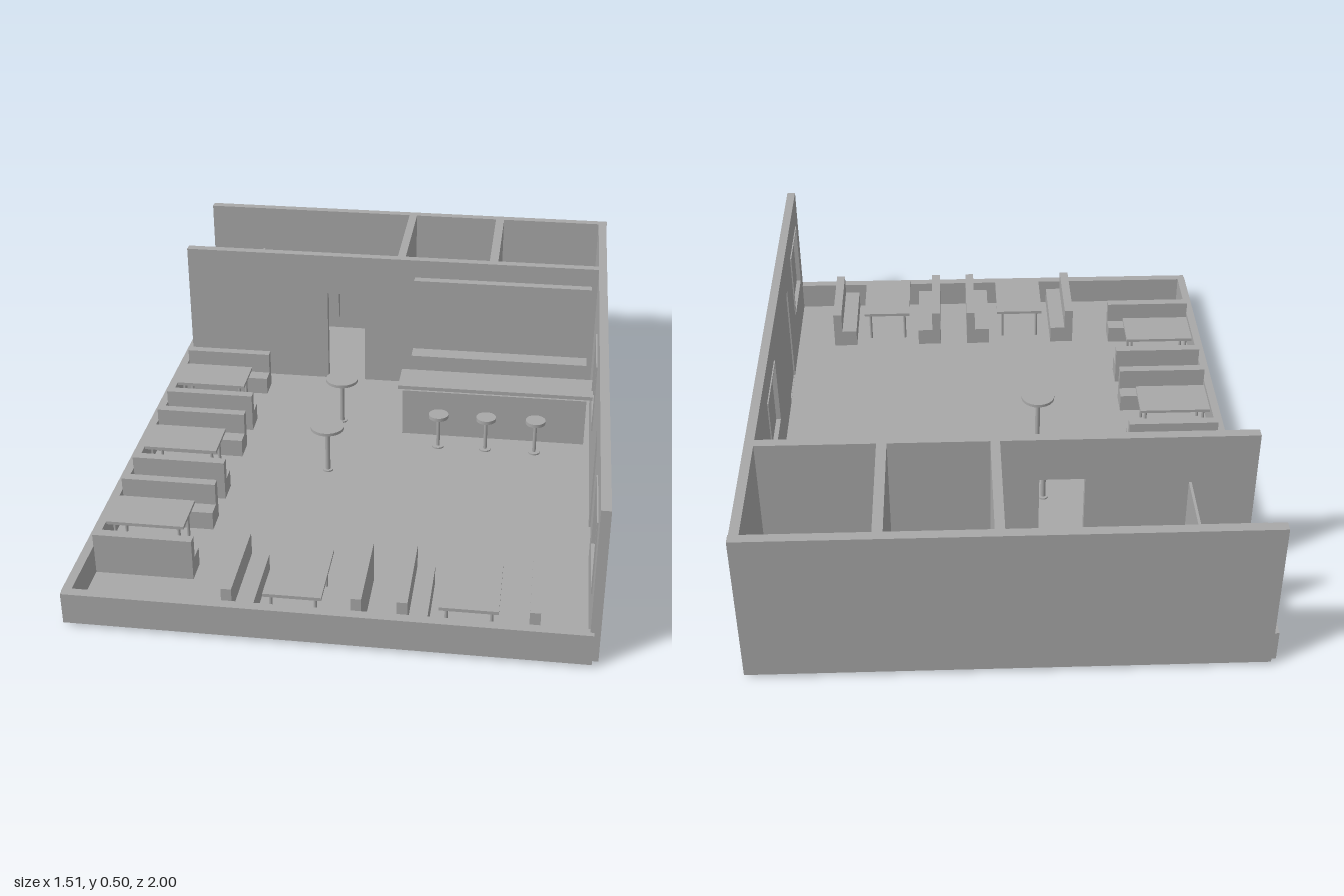
import * as THREE from 'three';

export function createModel() {
  const grey = new THREE.MeshStandardMaterial({ color: 0xa8a8a8 });
  grey.name = 'plain grey';
  const model = new THREE.Group();
  model.name = 'cafeInterior';
  const FLOOR = 0.015;

  const add = (name, geometry, parent = model) => {
    const mesh = new THREE.Mesh(geometry, grey);
    mesh.name = name;
    parent.add(mesh);
    return mesh;
  };
  const group = (name) => {
    const g = new THREE.Group();
    g.name = name;
    model.add(g);
    return g;
  };
  // Box given by its limits on each axis
  const box = (name, x0, x1, y0, y1, z0, z1, parent) =>
    add(name, new THREE.BoxGeometry(x1 - x0, y1 - y0, z1 - z0)
      .translate((x0 + x1) / 2, (y0 + y1) / 2, (z0 + z1) / 2), parent);
  // Upright disc or pole
  const disc = (name, x, z, r, y0, y1, parent, r0 = r) =>
    add(name, new THREE.CylinderGeometry(r, r0, y1 - y0, 24)
      .translate(x, (y0 + y1) / 2, z), parent);
  const path = (pts, Kind = THREE.Path) => new Kind(pts.map((p) => new THREE.Vector2(...p)));
  const rect = (a, b, c, d) => [[a, c], [b, c], [b, d], [a, d]];

  // Floor and outer walls
  box('floor', -0.74, 0.73, 0, FLOOR, -0.985, 0.985);
  box('frontLowWall', -0.755, 0.73, 0.01, 0.108, 0.97, 1);
  box('leftLowWall', -0.757, -0.73, 0.01, 0.108, -0.985, 0.985);
  box('backWall', -0.74, 0.75, 0.012, 0.5, -1, -0.97);

  // Right wall with two windows and a door
  const windows = [[-0.235, 0], [0.66, 0.895]];
  const side = path(rect(-0.985, 0.985, 0.012, 0.5), THREE.Shape);
  windows.forEach(([a, b]) => side.holes.push(path(rect(a, b, 0.177, 0.403))));
  side.holes.push(path(rect(0.33, 0.495, 0.016, 0.373)));
  add('rightWall', new THREE.ExtrudeGeometry(side, { depth: 0.028, bevelEnabled: false })
    .rotateY(-Math.PI / 2).translate(0.748, 0, 0));
  for (const [a, b] of windows) {
    const w = group('window');
    box('pane', 0.731, 0.737, 0.177, 0.403, a, b, w);
    for (const z of [a, b]) box('frameSide', 0.716, 0.753, 0.174, 0.406, z - 0.004, z + 0.004, w);
    for (const y of [0.177, 0.403]) box('frameRail', 0.716, 0.753, y - 0.003, y + 0.003, a, b, w);
  }
  box('sideDoor', 0.725, 0.743, 0.016, 0.373, 0.33, 0.495);

  // Partition with an open doorway, and the back room dividers
  const partition = path([[-0.74, 0.012], [-0.235, 0.012], [-0.235, 0.355], [-0.1, 0.355],
    [-0.1, 0.012], [0.72, 0.012], [0.72, 0.5], [-0.74, 0.5]], THREE.Shape);
  add('partition', new THREE.ExtrudeGeometry(partition, { depth: 0.03, bevelEnabled: false })
    .translate(0, 0, -0.58));
  box('roomDivider', 0.015, 0.043, FLOOR, 0.5, -0.97, -0.58);
  box('roomDivider', 0.34, 0.37, FLOOR, 0.5, -0.97, -0.58);
  box('stallWall', -0.549, -0.541, FLOOR, 0.335, -0.97, -0.58);
  box('stallDivider', -0.74, -0.549, FLOOR, 0.335, -0.779, -0.773);

  // Washroom fittings
  for (const z of [-0.883, -0.668]) {
    const t = group('toilet');
    box('tank', -0.73, -0.697, 0.05, 0.13, z - 0.033, z + 0.033, t);
    disc('bowl', -0.662, z, 0.035, FLOOR, 0.07, t, 0.022);
  }
  for (const x of [-0.4, -0.285, -0.17])
    box('wallBasin', x - 0.031, x + 0.031, 0.07, 0.205, -0.97, -0.938);
  box('sinkCabinet', -0.088, 0.015, FLOOR, 0.15, -0.97, -0.902);

  // Table centred on the origin: top and four legs
  const table = (g, hx, hz) => {
    box('tableTop', -hx, hx, 0.12, 0.13, -hz, hz, g);
    for (const sx of [-1, 1]) for (const sz of [-1, 1])
      disc('tableLeg', sx * (hx - 0.02), sz * (hz - 0.02), 0.005, FLOOR, 0.12, g);
  };

  // Office: desk, chair and cabinet
  const desk = group('desk');
  box('deskTop', 0.06, 0.305, 0.12, 0.13, -0.94, -0.828, desk);
  for (const x of [0.065, 0.29]) box('deskSide', x, x + 0.01, FLOOR, 0.12, -0.935, -0.835, desk);
  const chair = group('officeChair');
  box('seat', 0.137, 0.212, 0.07, 0.082, -0.795, -0.72, chair);
  box('backrest', 0.14, 0.209, 0.082, 0.15, -0.73, -0.72, chair);
  for (const x of [0.132, 0.211]) box('armrest', x, x + 0.007, 0.1, 0.108, -0.78, -0.725, chair);
  disc('post', 0.175, -0.757, 0.007, 0.025, 0.07, chair);
  disc('foot', 0.175, -0.757, 0.035, FLOOR, 0.025, chair);
  box('fileCabinet', 0.243, 0.322, FLOOR, 0.13, -0.672, -0.597);

  // Store room
  box('storeCounter', 0.39, 0.72, FLOOR, 0.17, -0.97, -0.875);
  box('storeCabinet', 0.65, 0.72, FLOOR, 0.17, -0.76, -0.597);

  // Bar: back cabinet, wall panel, counter and stools
  box('backBarCabinet', 0.08, 0.7, FLOOR, 0.17, -0.55, -0.46);
  box('backBarPanel', 0.08, 0.7, 0.17, 0.435, -0.55, -0.52);
  box('barTop', 0.063, 0.72, 0.182, 0.195, -0.308, -0.185);
  box('barFront', 0.08, 0.7, FLOOR, 0.182, -0.2, -0.177);
  for (const x of [0.21, 0.37, 0.535]) {
    const s = group('barStool');
    disc('stoolSeat', x, -0.103, 0.033, 0.128, 0.14, s);
    disc('stoolPole', x, -0.103, 0.006, FLOOR, 0.128, s);
    disc('stoolFoot', x, -0.103, 0.02, FLOOR, 0.02, s);
  }

  // Tall round tables
  for (const z of [-0.235, 0.095]) {
    const t = group('roundTable');
    disc('roundTop', -0.137, z, 0.055, 0.173, 0.183, t);
    disc('roundPole', -0.137, z, 0.008, FLOOR, 0.173, t);
    disc('roundFoot', -0.137, z, 0.017, FLOOR, 0.02, t);
  }

  // Booth: a table between two facing benches, spaced along its local z
  const booth = (x, z, turn, benchX, tableHX, tableHZ, inner, outer, tableShift) => {
    const b = group('booth');
    const t = new THREE.Group();
    t.name = 'diningTable';
    t.position.x = tableShift;
    b.add(t);
    table(t, tableHX, tableHZ);
    for (const s of [-1, 1]) {
      const span = (p, q) => [Math.min(s * p, s * q), Math.max(s * p, s * q)];
      box('benchSeat', -benchX, benchX, FLOOR, 0.075, ...span(inner, outer - 0.03), b);
      box('benchBack', -benchX, benchX, FLOOR, 0.147, ...span(outer - 0.03, outer), b);
    }
    b.position.set(x, 0, z);
    b.rotation.y = turn;
  };
  for (const z of [-0.302, 0.142, 0.585]) booth(-0.583, z, 0, 0.148, 0.118, 0.073, 0.093, 0.172, -0.018);
  for (const x of [-0.104, 0.388]) booth(x, 0.829, Math.PI / 2, 0.141, 0.118, 0.083, 0.115, 0.197, -0.008);

  return model;
}
